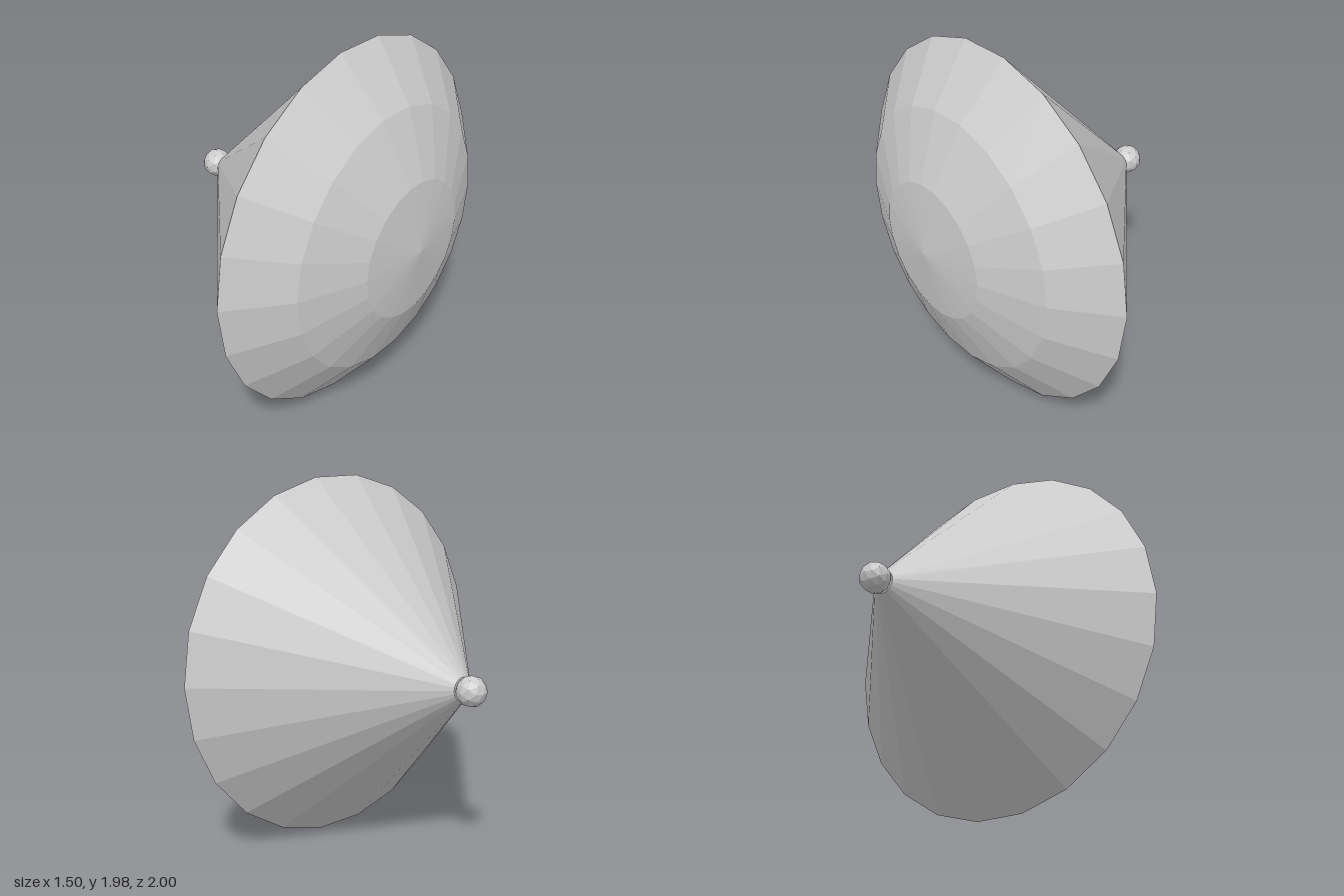
import * as THREE from 'three';

const SIDES = 22;
const CENTRE_Y = 0.99;

// Faceted surface of revolution about the x axis; profile holds [x, radius]
function turned(name, profile, material) {
  const points = profile.map(([x, r]) => new THREE.Vector2(r, x));
  const mesh = new THREE.Mesh(new THREE.LatheGeometry(points, SIDES), material);
  mesh.rotation.z = -Math.PI / 2;
  mesh.position.y = CENTRE_Y;
  mesh.name = name;
  return mesh;
}

export function createModel() {
  const group = new THREE.Group();
  group.name = 'domedCone';
  const material = new THREE.MeshStandardMaterial({ color: 0xcccccc, flatShading: true });

  // Cone with a small cut-off tip, widening towards +x
  group.add(turned('cone', [[-0.61, 0], [-0.61, 0.06], [0.33, 1]], material));

  // Shallow dome closing the wide end
  group.add(turned('dome', [[0.33, 1], [0.56, 0.71], [0.7, 0.37], [0.745, 0]], material));

  // Faceted ball on the tip
  const ball = new THREE.Mesh(new THREE.IcosahedronGeometry(0.08, 1), material);
  ball.position.set(-0.67, CENTRE_Y, 0);
  ball.name = 'tipBall';
  group.add(ball);

  return group;
}
